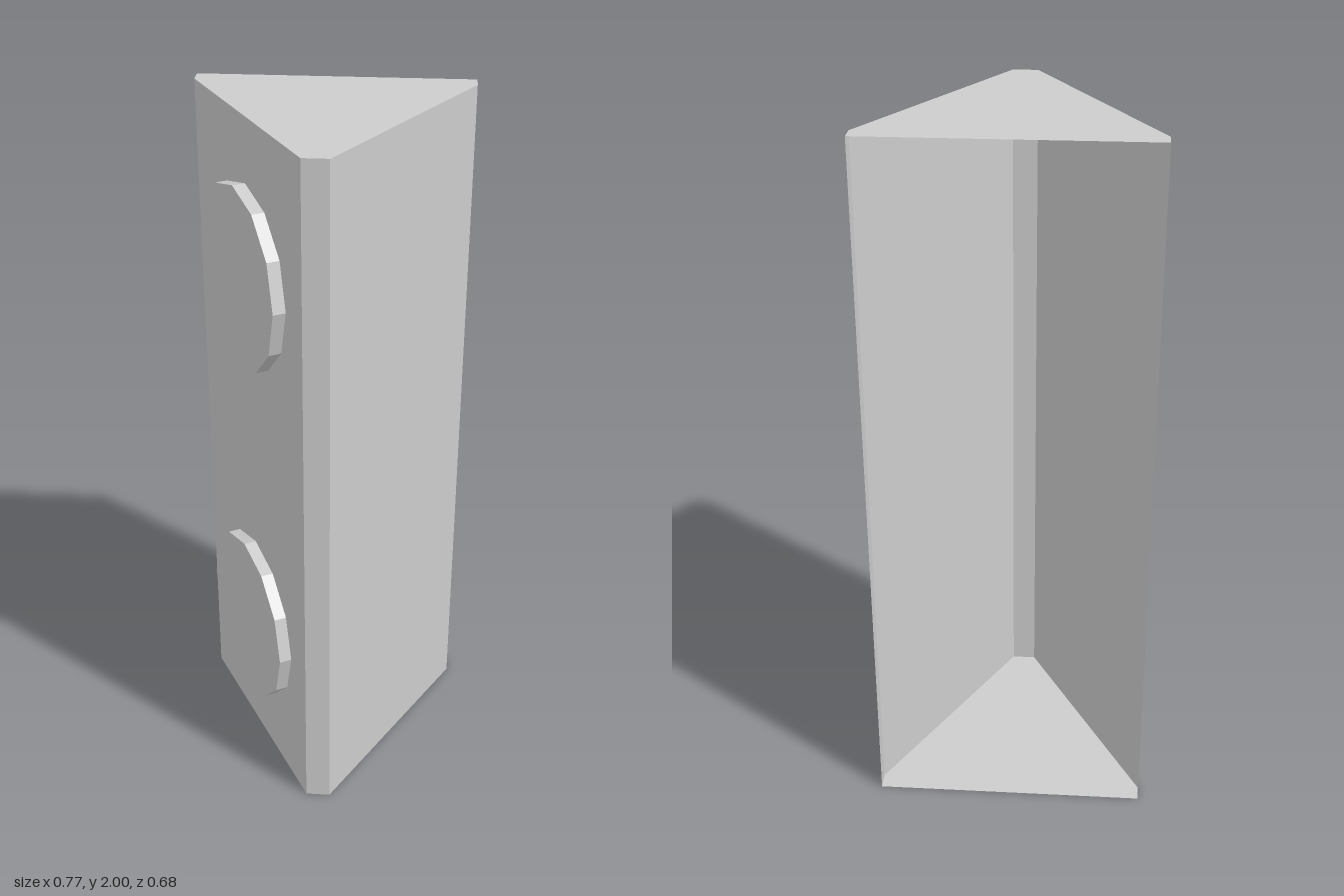
import * as THREE from 'three';

export function createModel() {
  const model = new THREE.Group();
  const grey = new THREE.MeshStandardMaterial({ color: 0xcccccc, side: THREE.DoubleSide, flatShading: true });
  grey.name = 'lightGrey';
  const height = 2;

  const add = (name, geometry) => {
    const mesh = new THREE.Mesh(geometry, grey);
    mesh.name = name;
    model.add(mesh);
    return mesh;
  };

  // Plan outline as [x, z], from the back left corner round the front; the back stays open
  const outline = [
    [0.385, -0.34], [0.385, -0.29], [0.035, 0.34],
    [-0.035, 0.34], [-0.385, -0.29], [-0.385, -0.34],
  ];

  // Thin walls, one for each side of the outline
  const wallNames = ['leftEdgeWall', 'leftWall', 'frontEdgeWall', 'rightWall', 'rightEdgeWall'];
  wallNames.forEach((name, i) => {
    const [ax, az] = outline[i];
    const [bx, bz] = outline[i + 1];
    const wall = add(name, new THREE.PlaneGeometry(Math.hypot(bx - ax, bz - az), height));
    wall.position.set((ax + bx) / 2, height / 2, (az + bz) / 2);
    wall.rotation.y = Math.atan2(bz - az, ax - bx);
  });

  // End panels: side 1 faces down, side -1 faces up
  const endPanel = (name, y, side) => {
    const shape = new THREE.Shape(outline.map(([x, z]) => new THREE.Vector2(x, side * z)));
    const panel = add(name, new THREE.ShapeGeometry(shape).rotateX(side * Math.PI / 2));
    panel.position.y = y;
  };
  endPanel('bottomPanel', 0, 1);
  endPanel('topPanel', height, -1);

  // Twelve-sided discs standing proud of the slanted right wall
  const nx = -0.874, nz = 0.486, depth = 0.036;
  for (const [name, y] of [['lowerDisc', 0.443], ['upperDisc', 1.56]]) {
    const disc = add(name, new THREE.CylinderGeometry(0.26, 0.26, depth, 12).rotateX(Math.PI / 2));
    const offset = depth / 2 + 0.001;
    disc.position.set(-0.21 + nx * offset, y, 0.025 + nz * offset);
    disc.rotation.y = Math.atan2(nx, nz);
  }

  return model;
}
